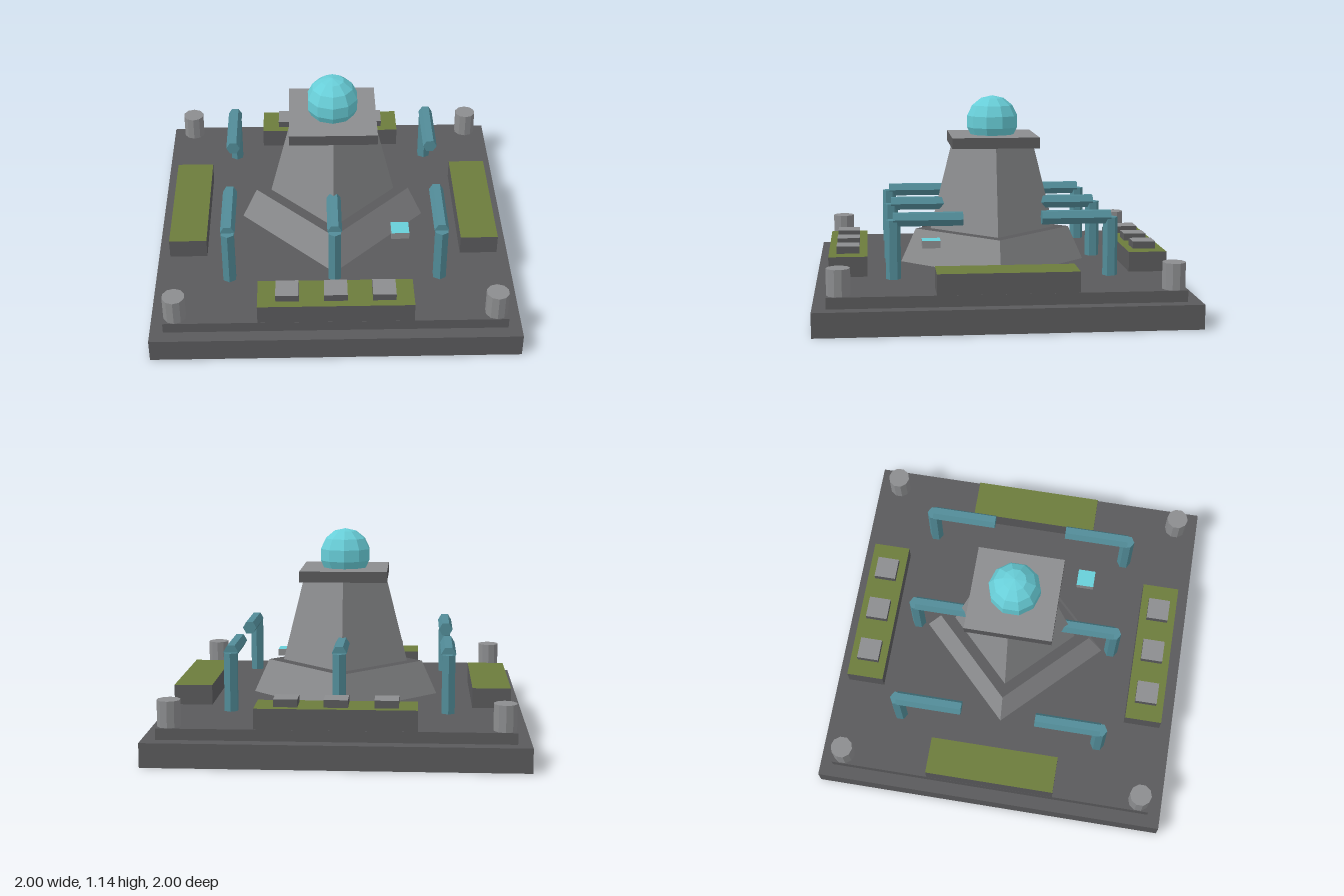
import * as THREE from 'three';

const paint = (name, color) => {
  const m = new THREE.MeshStandardMaterial({ color });
  m.name = name;
  return m;
};

// Give every facet its own flat normal
const faceted = (geometry) => {
  const g = geometry.toNonIndexed();
  g.computeVertexNormals();
  return g;
};

export function createModel() {
  const model = new THREE.Group();
  model.name = 'monument';

  const dark = paint('darkStone', 0x5a5a5c);
  const light = paint('lightStone', 0x8c8d8f);
  const moss = paint('moss', 0x6c7c3c);
  const teal = paint('tealMetal', 0x528c98);
  const cyan = paint('cyanGlow', 0x68ced8);

  const add = (name, geometry, material, x, y, z, parent = model) => {
    const mesh = new THREE.Mesh(geometry, material);
    mesh.name = name;
    mesh.position.set(x, y, z);
    parent.add(mesh);
    return mesh;
  };

  // Box standing between y0 and y1, with its own colour on top
  const slab = (name, w, d, y0, y1, x, z, side, top = side) =>
    add(name, new THREE.BoxGeometry(w, y1 - y0, d),
      [side, side, top, side, side, side], x, (y0 + y1) / 2, z);

  // Stepped base
  slab('baseSlab', 2, 2, 0, 0.13, 0, 0, dark);
  slab('upperSlab', 1.855, 1.855, 0.13, 0.19, 0, 0, dark);

  // Planters along the four edges, stone blocks on the front and back ones
  for (const s of [-1, 1]) {
    slab('longPlanter', 0.84, 0.21, 0.19, 0.3, 0, s * 0.822, dark, moss);
    slab('sidePlanter', 0.21, 0.735, 0.19, 0.3, s * 0.822, 0, dark, moss);
    for (const x of [-0.26, 0, 0.26]) {
      slab('planterBlock', 0.125, 0.125, 0.3, 0.34, x, s * 0.822, dark, light);
    }
  }

  // Corner posts
  const post = faceted(new THREE.CylinderGeometry(0.062, 0.062, 0.14, 10));
  for (const x of [-0.865, 0.865]) {
    for (const z of [-0.865, 0.865]) add('cornerPost', post, light, x, 0.26, z);
  }

  // Two-stage tapered plinth, set diagonally
  const taper = (name, rTop, rBottom, y0, y1) =>
    add(name, faceted(new THREE.CylinderGeometry(rTop, rBottom, y1 - y0, 4)),
      [light, dark, dark], 0, (y0 + y1) / 2, 0);
  taper('plinthFoot', 0.44, 0.525, 0.19, 0.38);
  taper('plinthShaft', 0.235, 0.355, 0.38, 0.86);
  slab('plinthCap', 0.485, 0.485, 0.86, 0.92, 0, 0, dark, light);

  // Faceted orb
  const orb = new THREE.SphereGeometry(0.147, 10, 7).rotateY(Math.PI / 2);
  add('orb', faceted(orb), cyan, 0, 0.993, 0);

  // Small console
  slab('console', 0.1, 0.1, 0.34, 0.38, 0.37, 0.37, light, cyan);

  // Bent hexagonal pipes: an upright and an arm pointing inward
  const upright = faceted(new THREE.CylinderGeometry(0.04, 0.04, 0.315, 6));
  const arm = faceted(new THREE.CylinderGeometry(0.04, 0.04, 0.37, 6)
    .rotateY(Math.PI / 6).rotateX(Math.PI / 2));
  for (const x of [-0.58, 0, 0.58]) {
    for (const s of [-1, 1]) {
      const pipe = new THREE.Group();
      pipe.name = 'pipe';
      add('pipeUpright', upright, teal, x, 0.3675, s * 0.58, pipe);
      add('pipeArm', arm, teal, x, 0.527, s * 0.395, pipe);
      model.add(pipe);
    }
  }

  return model;
}
